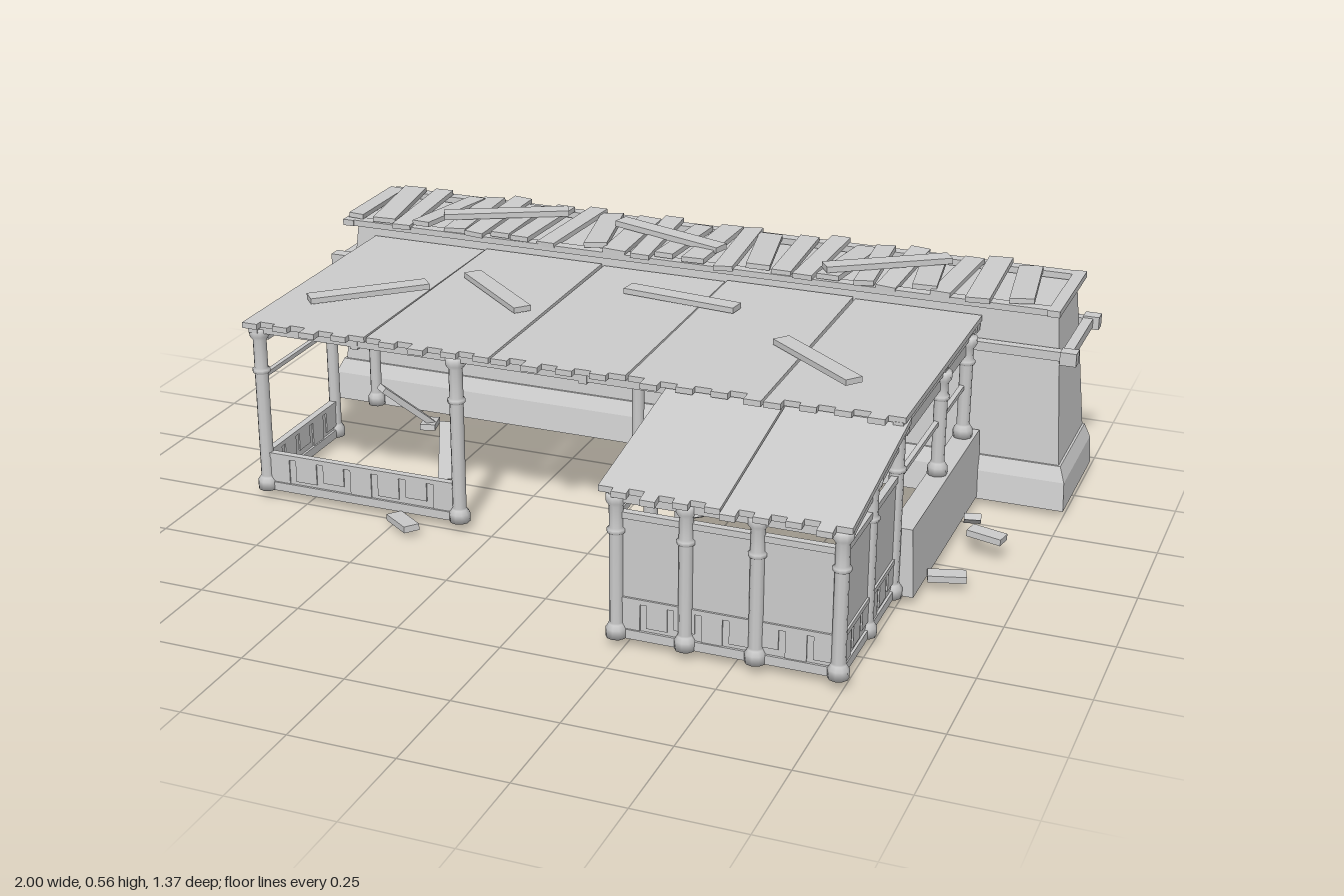
import * as THREE from 'three';

const mat = new THREE.MeshStandardMaterial({ color: 0xcccccc, flatShading: true });
const smooth = new THREE.MeshStandardMaterial({ color: 0xcccccc });
const V = (p) => new THREE.Vector3(...p);

export function createModel() {
  const root = new THREE.Group();
  root.name = 'ruinedPorchHouse';

  const add = (name, geo, m = mat, parent = root) => {
    const mesh = new THREE.Mesh(geo, m);
    mesh.name = name;
    parent.add(mesh);
    return mesh;
  };
  // box given by its extents
  const box = (name, x0, x1, y0, y1, z0, z1) => {
    const b = add(name, new THREE.BoxGeometry(x1 - x0, y1 - y0, z1 - z0));
    b.position.set((x0 + x1) / 2, (y0 + y1) / 2, (z0 + z1) / 2);
    return b;
  };
  // box running from point a to point b
  const beam = (name, a, b, w = 0.02, t = 0.02) => {
    const p = V(a), q = V(b);
    const m = add(name, new THREE.BoxGeometry(w, t, p.distanceTo(q)));
    m.position.copy(p).add(q).multiplyScalar(0.5);
    m.lookAt(q);
    return m;
  };
  // block whose top is narrower than its foot: [x0, x1, z0, z1] at each end
  const tapered = (name, y0, y1, foot, top) => {
    const g = new THREE.BoxGeometry(1, 1, 1), p = g.attributes.position;
    for (let i = 0; i < p.count; i++) {
      const up = p.getY(i) > 0, r = up ? top : foot;
      p.setXYZ(i, p.getX(i) < 0 ? r[0] : r[1], up ? y1 : y0, p.getZ(i) < 0 ? r[2] : r[3]);
    }
    g.computeVertexNormals();
    return add(name, g);
  };

  // rear building: sloping plinth and battered walls
  tapered('plinthFoot', 0.02, 0.09, [-1, 1, -0.687, -0.36], [-0.995, 0.995, -0.685, -0.372]);
  tapered('plinthTop', 0.09, 0.125, [-0.995, 0.995, -0.685, -0.372], [-0.98, 0.98, -0.68, -0.39]);
  tapered('rearBuildingWall', 0.12, 0.515, [-0.975, 0.975, -0.678, -0.395], [-0.94, 0.94, -0.645, -0.435]);

  // beam rings round the building, with projecting beam ends
  const ring = (name, x, z0, z1, y0, y1, w) => {
    box(name, -x, x, y0, y1, z0, z0 + w);
    box(name, -x, x, y0, y1, z1 - w, z1);
    for (const s of [-1, 1]) box(name, s * (x - w / 2) - w / 2, s * (x - w / 2) + w / 2, y0, y1, z0 - 0.004, z1 + 0.004);
  };
  ring('wallBand', 0.985, -0.675, -0.395, 0.395, 0.418, 0.025);
  ring('eavesBeam', 0.955, -0.683, -0.378, 0.512, 0.528, 0.03);
  for (let i = 0; i < 20; i++) {
    const x = -0.93 + i * 0.098;
    box('beamEnd', x - 0.012, x + 0.012, 0.398, 0.415, -0.687, -0.66);
  }
  for (const s of [-1, 1]) for (const z of [-0.67, -0.4])
    box('bandCorner', s * 0.98 - 0.02, s * 0.98 + 0.02, 0.39, 0.423, z - 0.017, z + 0.017);

  // loose roof planks: [x, tilt, width]
  const planks = [
    [-0.93, 0.05, 0.04], [-0.86, 0.16, 0.06], [-0.79, 0.05, 0.05], [-0.71, -0.15, 0.05], [-0.64, 0.05, 0.06],
    [-0.57, -0.04, 0.05], [-0.51, 0.04, 0.05], [-0.44, -0.05, 0.05], [-0.36, -0.1, 0.05], [-0.27, 0.22, 0.06],
    [-0.19, 0.03, 0.06], [-0.12, 0.05, 0.05], [-0.05, -0.04, 0.05], [0.03, -0.03, 0.06], [0.1, 0.06, 0.05],
    [0.17, 0.2, 0.06], [0.25, 0.05, 0.05], [0.32, -0.04, 0.05], [0.39, -0.1, 0.06], [0.46, 0.08, 0.05],
    [0.53, -0.03, 0.05], [0.6, 0.15, 0.06], [0.67, -0.06, 0.05], [0.75, 0.04, 0.06], [0.84, 0.14, 0.06]];
  planks.forEach(([x, r, w], i) => {
    const p = add('roofPlank', new THREE.BoxGeometry(w, 0.013, 0.27 + (i % 3) * 0.012));
    p.position.set(x, 0.533 + (i % 2) * 0.004, -0.523 + (i % 4) * 0.003);
    p.rotation.set(((i % 3) - 1) * 0.03, r, ((i % 5) - 2) * 0.03);
  });
  [[-0.69, -0.44, -0.4, -0.59], [-0.24, -0.56, 0.07, -0.47], [0.36, -0.41, 0.63, -0.59]].forEach(([x0, z0, x1, z1], i) =>
    beam('fallenRoofPlank', [x0, 0.552, z0], [x1, i === 1 ? 0.545 : 0.552, z1], 0.045, 0.015));

  // thin roof sheet with a ragged front edge, sloping from yBack to yFront
  const sheet = (name, x0, x1, zBack, zFront, yBack, yFront, seed) => {
    const s = new THREE.Shape(), n = 8, w = (x1 - x0) / n;
    s.moveTo(x0, -zBack);
    for (let i = 0; i < n; i++) {
      const z = zFront - [0.0, 0.018, 0.004, 0.022, -0.01, 0.016][(i + seed) % 6];
      s.lineTo(x0 + i * w, -z);
      s.lineTo(x0 + (i + 1) * w, -z);
    }
    s.lineTo(x1, -zBack);
    const g = new THREE.ExtrudeGeometry(s, { depth: 0.014, bevelEnabled: false });
    g.rotateX(-Math.PI / 2);
    const p = g.attributes.position;
    for (let i = 0; i < p.count; i++)
      p.setY(i, p.getY(i) + yBack + (yFront - yBack) * (p.getZ(i) - zBack) / (zFront - zBack));
    g.computeVertexNormals();
    return add(name, g);
  };
  const seams = [-0.89, -0.565, -0.235, 0.1, 0.435, 0.76];
  for (let i = 0; i < 5; i++)
    sheet('porchRoofSheet', seams[i] + 0.003, seams[i + 1] - 0.003, -0.425, 0.275, 0.461 + (i % 2) * 0.004, 0.459, i);
  sheet('roomRoofSheet', 0.195, 0.475, 0.22, 0.675, 0.448, 0.37, 1);
  sheet('roomRoofSheet', 0.478, 0.76, 0.22, 0.675, 0.446, 0.368, 4);

  // planks lying on the porch roof
  [[-0.8, 0.1, -0.575, -0.1], [-0.505, -0.215, -0.28, -0.02], [-0.1, -0.26, 0.2, -0.22], [0.365, -0.06, 0.6, 0.13]].forEach(
    ([x0, z0, x1, z1]) => beam('porchRoofPlank', [x0, 0.486, z0], [x1, 0.488, z1], 0.045, 0.014));

  // turned posts
  const post = (x, z, y0, y1, r = 0.015) => {
    const h = y1 - y0;
    const prof = [[0, 0], [1.5, 0], [1.5, 0.022], [1.1, 0.032], [1, 0.036], [1, h * 0.72], [1.3, h * 0.72 + 0.004],
      [1.3, h * 0.72 + 0.012], [1, h * 0.72 + 0.016], [1, h - 0.03], [1.45, h - 0.02], [1.45, h], [0, h]];
    add('post', new THREE.LatheGeometry(prof.map(([a, b]) => new THREE.Vector2(a * r, b)), 10), smooth).position.set(x, y0, z);
  };
  for (const x of [-0.865, -0.34, 0.23, 0.735]) post(x, 0.235, 0.025, 0.45, 0.017);
  post(-0.865, -0.12, 0.025, 0.45);
  post(-0.865, -0.35, 0.025, 0.45);
  post(-0.01, -0.1, 0.025, 0.42);
  for (const z of [-0.1, -0.34]) post(0.745, z, 0.188, 0.45, 0.016);

  // porch beams and side fascias
  box('frontBeam', -0.885, 0.755, 0.44, 0.46, 0.222, 0.248);
  box('middleBeam', -0.885, 0.755, 0.425, 0.455, -0.115, -0.09);
  box('backBeam', -0.885, 0.755, 0.44, 0.46, -0.42, -0.39);
  for (const x of [-0.868, 0.74]) {
    box('sideFascia', x - 0.006, x + 0.006, 0.405, 0.455, -0.35, 0.2);
    box('sideBeam', x - 0.012, x + 0.012, 0.443, 0.461, -0.41, 0.26);
  }
  for (const x of [-0.6, -0.34, -0.01, 0.23, 0.48]) box('rafter', x - 0.01, x + 0.01, 0.435, 0.46, -0.41, 0.25);
  box('sideRail', 0.734, 0.746, 0.316, 0.327, -0.36, 0.235);
  box('sideRail', -0.871, -0.859, 0.316, 0.327, -0.36, 0.235);

  // low masonry wall on the left side of the porch
  tapered('lowSideWall', 0.025, 0.19, [0.715, 0.785, -0.39, 0.228], [0.722, 0.775, -0.39, 0.222]);

  // low boarded panel between two ground points
  const boarding = (x0, z0, x1, z1, n) => {
    const at = (t, y) => [x0 + (x1 - x0) * t, y, z0 + (z1 - z0) * t];
    beam('panelTopRail', at(0, 0.118), at(1, 0.118), 0.018, 0.012);
    beam('panelFootRail', at(0, 0.036), at(1, 0.036), 0.02, 0.022);
    beam('panelBoard', at(0, 0.075), at(1, 0.075), 0.008, 0.08);
    for (let i = 0; i < n; i++) {
      const y0 = 0.048 + (i % 3) * 0.008;
      beam('panelSlat', at((i + 0.12) / n, (y0 + 0.113) / 2), at((i + 0.88) / n, (y0 + 0.113) / 2), 0.015, 0.113 - y0);
    }
  };
  boarding(-0.865, 0.235, -0.34, 0.235, 7);
  boarding(-0.865, 0.235, -0.865, -0.12, 5);
  boarding(0.23, 0.635, 0.735, 0.635, 8);
  boarding(0.735, 0.635, 0.735, 0.235, 6);
  boarding(0.23, 0.635, 0.23, 0.235, 6);

  // front room: posts, filled walls, rails and sloping rafters
  for (const x of [0.23, 0.39, 0.55, 0.735]) post(x, 0.64, 0.025, 0.37, 0.016);
  for (const x of [0.23, 0.735]) post(x, 0.435, 0.025, 0.405, 0.016);
  box('roomFrontWall', 0.23, 0.735, 0.03, 0.315, 0.631, 0.639);
  box('roomSideWall', 0.731, 0.739, 0.03, 0.315, 0.235, 0.635);
  box('roomFrontRail', 0.23, 0.735, 0.312, 0.327, 0.626, 0.644);
  box('roomFrontBeam', 0.21, 0.75, 0.352, 0.374, 0.628, 0.65);
  for (const x of [0.23, 0.735]) {
    box('roomSideRail', x - 0.008, x + 0.008, 0.312, 0.327, 0.235, 0.635);
    beam('roomRafter', [x, 0.434, 0.23], [x, 0.363, 0.655], 0.022, 0.024);
  }
  for (const x of [0.39, 0.55]) beam('roomRafter', [x, 0.436, 0.23], [x, 0.365, 0.655], 0.018, 0.02);
  beam('roomSideFascia', [0.738, 0.405, 0.25], [0.738, 0.345, 0.6], 0.008, 0.035);

  // fallen boards around the site
  [[[0.825, 0.06, -0.15], [0.84, 0.1, -0.085]], [[0.835, 0.065, -0.085], [0.92, 0.06, -0.07]],
    [[0.79, 0.035, 0.125], [0.875, 0.035, 0.1]], [[-0.505, 0.02, 0.26], [-0.425, 0.028, 0.325]],
    [[0.13, 0.17, -0.05], [0.19, 0.03, 0.02]], [[-0.77, 0.14, -0.2], [-0.68, 0.02, -0.3]],
    [[-0.49, 0.16, -0.02], [-0.47, 0.03, 0.04]], [[-0.69, 0.012, -0.33], [-0.67, 0.02, -0.26]]].forEach(
    ([a, b]) => beam('fallenBoard', a, b, 0.04, 0.016));

  return root;
}
